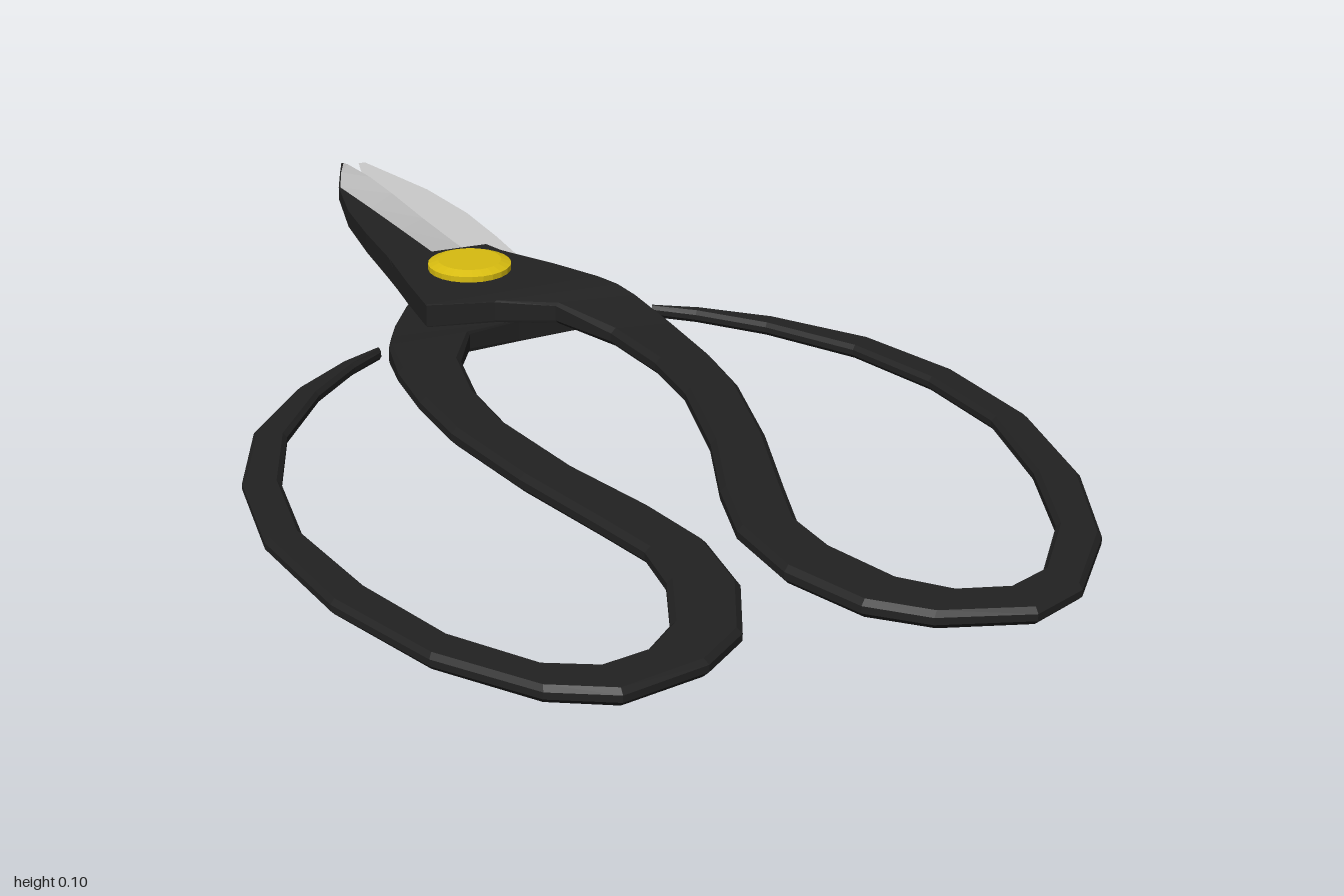
import * as THREE from 'three';

const HEIGHT = 0.105;

const paint = (color) => new THREE.MeshStandardMaterial({ color, flatShading: true, side: THREE.DoubleSide });
const black = paint(0x222222), steel = paint(0xcccccc), brass = paint(0xd8bc10);

// Skin a row of closed rings (arrays of [x, y, z]) and cap both ends.
function loft(name, rings, material) {
  const n = rings[0].length, index = [];
  for (let i = 0; i < rings.length - 1; i++) {
    for (let j = 0; j < n; j++) {
      const a = i * n + j, b = i * n + (j + 1) % n;
      index.push(a, b, b + n, a, b + n, a + n);
    }
  }
  const last = (rings.length - 1) * n;
  for (let j = 1; j < n - 1; j++) {
    index.push(0, j + 1, j, last, last + j, last + j + 1);
  }
  // A negative signed volume means the faces point inwards: turn them round.
  const pts = rings.flat().map((p) => new THREE.Vector3(...p));
  let volume = 0;
  for (let i = 0; i < index.length; i += 3) {
    const cross = pts[index[i + 1]].clone().cross(pts[index[i + 2]]);
    volume += pts[index[i]].dot(cross);
  }
  if (volume < 0) index.reverse();
  let geometry = new THREE.BufferGeometry().setFromPoints(pts);
  geometry.setIndex(index);
  geometry = geometry.toNonIndexed();
  geometry.computeVertexNormals();
  const mesh = new THREE.Mesh(geometry, material);
  mesh.name = name;
  return mesh;
}

// Chamfered bar section between edge points A and B.
function barSection([ax, az, bx, bz], y0, y1, bevel) {
  const h = y1 - y0, width = Math.hypot(bx - ax, bz - az);
  const u = Math.min(0.35, bevel * h / width), v = bevel;
  return [[u, 0], [1 - u, 0], [1, v], [1, 1 - v], [1 - u, 1], [u, 1], [0, 1 - v], [0, v]]
    .map(([s, t]) => [ax + (bx - ax) * s, y0 + h * t, az + (bz - az) * s]);
}

// Flat pivot plate and neck: both edges [ax, az, bx, bz], then bottom, top, bevel
const NECK = [
  [-0.115, -0.42, 0.052, -0.425, 0.053, 0.09, 0.03],
  [-0.117, -0.39, 0.065, -0.39, 0.053, 0.09, 0.03],
  [-0.122, -0.3, 0.125, -0.3, 0.053, 0.09, 0.03],
  [-0.125, -0.2, 0.168, -0.225, 0.053, 0.09, 0.03],
  [-0.02, -0.183, 0.187, -0.185, 0.053, 0.089, 0.08],
  [0.07, -0.155, 0.203, -0.145, 0.049, 0.083, 0.15],
  [0.12, -0.05, 0.222, -0.04, 0.044, 0.073, 0.28],
];

// Looped grip: both edges, tapering towards the free end
const GRIP = [
  [0.14, 0.08, 0.227, 0.08], [0.137, 0.2, 0.22, 0.2], [0.1, 0.38, 0.183, 0.38],
  [0.05, 0.53, 0.135, 0.55], [0.022, 0.65, 0.108, 0.65], [0.03, 0.78, 0.115, 0.74],
  [0.08, 0.9, 0.155, 0.85], [0.15, 0.96, 0.21, 0.905], [0.275, 0.995, 0.275, 0.92],
  [0.36, 0.955, 0.34, 0.89], [0.46, 0.83, 0.42, 0.78], [0.53, 0.65, 0.475, 0.62],
  [0.56, 0.45, 0.507, 0.44], [0.54, 0.26, 0.49, 0.28], [0.48, 0.1, 0.44, 0.13],
  [0.38, -0.03, 0.355, 0], [0.29, -0.105, 0.275, -0.085], [0.225, -0.14, 0.22, -0.13],
];

// Blade: z, spine x, ridge x, cutting edge x, ridge height
const BLADE = [
  [-1, -0.022, -0.018, -0.01, 0.056],
  [-0.92, -0.048, -0.046, 0.006, 0.067],
  [-0.82, -0.08, -0.077, 0.016, 0.075],
  [-0.68, -0.105, -0.066, 0.026, 0.082],
  [-0.55, -0.113, -0.054, 0.038, 0.086],
  [-0.42, -0.116, -0.042, 0.053, 0.0895],
  [-0.31, -0.12, -0.04, 0.1, 0.06],
];

function createHalf(name) {
  const half = new THREE.Group();
  half.name = name;
  const handleRings = [
    ...NECK.map((s) => barSection(s, s[4], s[5], s[6])),
    ...GRIP.map((s, i) => {
      const thin = 0.0145 - 0.005 * i / (GRIP.length - 1);
      return barSection(s, 0.057 - thin, 0.057 + thin, 0.3);
    }),
  ];
  const base = 0.0526;
  half.add(
    loft('handle', handleRings, black),
    // Dark spine above the ground steel wedge
    loft('bladeSpine', BLADE.map(([z, xs, xm, , y]) => [[xs, base + 0.001, z], [xm, y, z], [xs, y, z]]), black),
    loft('bladeEdge', BLADE.map(([z, xs, xm, xe, y]) => [[xs, base, z], [xe, base, z], [xm, y, z]]), steel),
  );
  return half;
}

export function createModel() {
  const model = new THREE.Group();
  model.name = 'gardenScissors';

  // The lower half is the upper half turned over about the long axis.
  const lower = createHalf('lowerHalf');
  lower.rotation.z = Math.PI;
  lower.position.y = HEIGHT;
  model.add(createHalf('upperHalf'), lower);

  // Rivet with a chamfered head on both sides
  const profile = [[0, 0], [0.05, 0], [0.066, 0.006], [0.066, 0.015], [0.045, 0.016],
    [0.045, HEIGHT - 0.016], [0.066, HEIGHT - 0.015], [0.066, HEIGHT - 0.006], [0.05, HEIGHT], [0, HEIGHT]];
  const rivet = new THREE.Mesh(
    new THREE.LatheGeometry(profile.map(([r, y]) => new THREE.Vector2(r, y)), 24), brass);
  rivet.name = 'pivotRivet';
  rivet.position.set(-0.01, 0, -0.33);
  model.add(rivet);
  return model;
}
